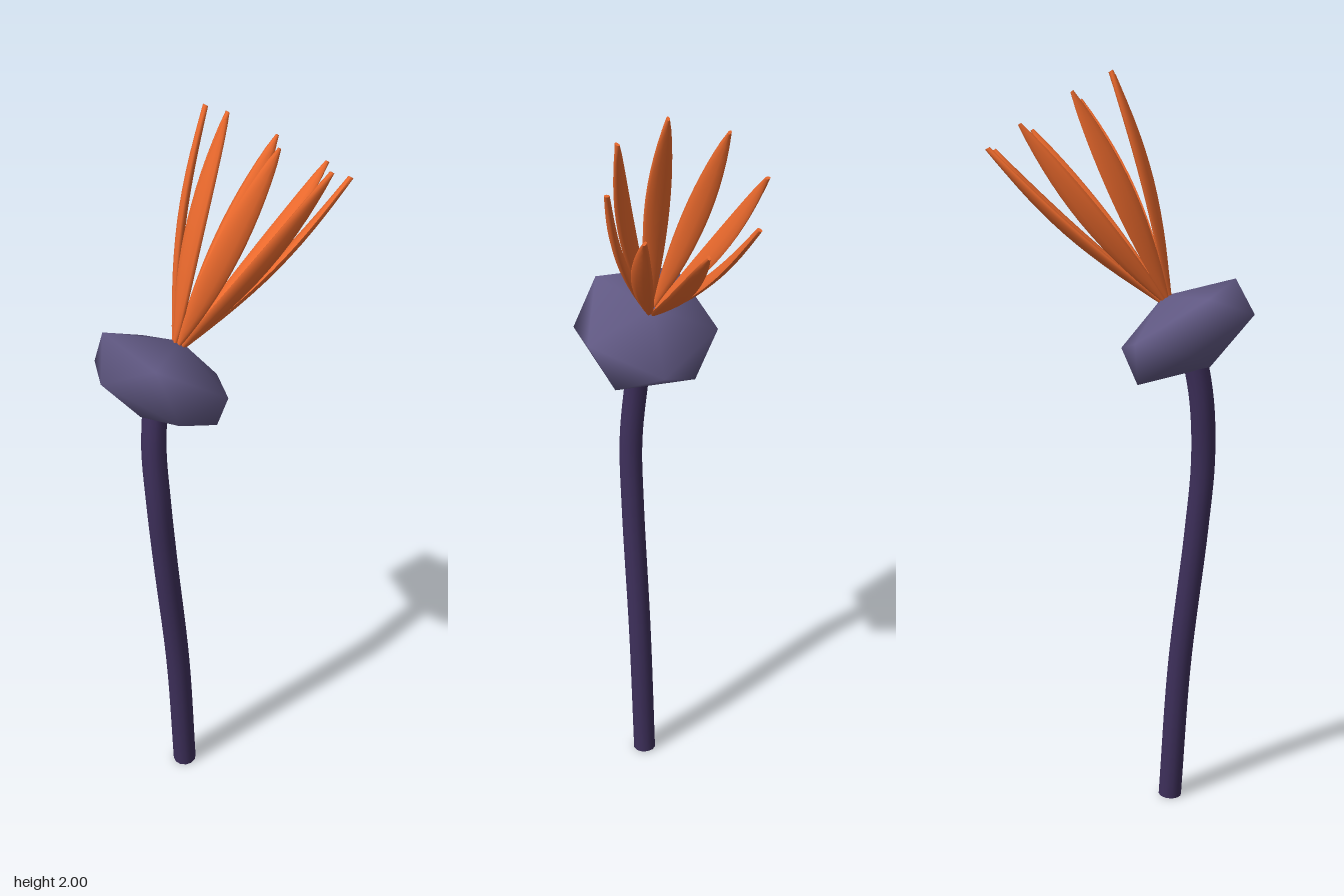
import * as THREE from 'three';
import { mergeVertices } from 'three/addons/utils/BufferGeometryUtils.js';

const mat = (color) => new THREE.MeshStandardMaterial({ color });

function named(name, geometry, material) {
  const mesh = new THREE.Mesh(geometry, material);
  mesh.name = name;
  return mesh;
}

// Slender lens-section petal: grows along +y, leans and bows towards +x
function petalGeometry() {
  const length = 0.555, spread = 0.184, bow = 0.022;
  const g = new THREE.CylinderGeometry(1, 1, 1, 10, 14);
  const p = g.attributes.position;
  for (let i = 0; i < p.count; i++) {
    const t = p.getY(i) + 0.5;
    const width = 0.004 + 0.029 * Math.pow(Math.sin(Math.PI * t), 0.8);
    const thick = 0.007 + 0.005 * Math.sin(Math.PI * t);
    const out = 0.01 + spread * t + bow * Math.sin(Math.PI * t);
    p.setXYZ(i, out + p.getX(i) * thick, length * t, p.getZ(i) * width);
  }
  g.computeVertexNormals();
  return g;
}

// Smooth-shaded icosahedron, squashed and slanted
function bulbGeometry() {
  let g = new THREE.IcosahedronGeometry(0.206, 0);
  g.deleteAttribute('normal');
  g.deleteAttribute('uv');
  g = mergeVertices(g, 1e-4);
  g.applyMatrix4(new THREE.Matrix4().makeBasis(
    new THREE.Vector3(-0.53, 0.69, 0),
    new THREE.Vector3(-0.69, -0.07, 0),
    new THREE.Vector3(0, 0, 1)
  ));
  g.computeVertexNormals();
  return g;
}

export function createModel() {
  const model = new THREE.Group();
  model.name = 'flower';
  const stemMat = mat(0x3d2f5a), bulbMat = mat(0x625a85), petalMat = mat(0xe8682c);

  // Gently curved stem, closed at the foot
  const path = new THREE.CatmullRomCurve3([
    [-0.135, 0, 0.022], [-0.157, 0.4, 0.027], [-0.198, 0.8, 0.033],
    [-0.214, 1.0, 0.032], [-0.213, 1.17, 0.016], [-0.19, 1.33, 0],
  ].map((v) => new THREE.Vector3(...v)));
  model.add(named('stem', new THREE.TubeGeometry(path, 40, 0.032, 12), stemMat));
  const foot = named('stemFoot', new THREE.CircleGeometry(0.032, 12), stemMat);
  foot.rotation.x = Math.PI / 2;
  foot.position.set(-0.135, 0, 0.022);
  model.add(foot);

  // Faceted bulb on top of the stem
  const bulb = named('bulb', bulbGeometry(), bulbMat);
  bulb.position.set(-0.176, 1.355, 0);
  model.add(bulb);

  // Crown of eight petals spreading around a tilted axis
  const crown = new THREE.Group();
  crown.name = 'petals';
  crown.position.set(-0.12, 1.43, 0);
  crown.rotation.z = -0.594;
  const petalShape = petalGeometry();
  for (let i = 0; i < 8; i++) {
    const petal = named('petal', petalShape, petalMat);
    petal.rotation.y = (i * Math.PI) / 4;
    crown.add(petal);
  }
  model.add(crown);

  return model;
}
